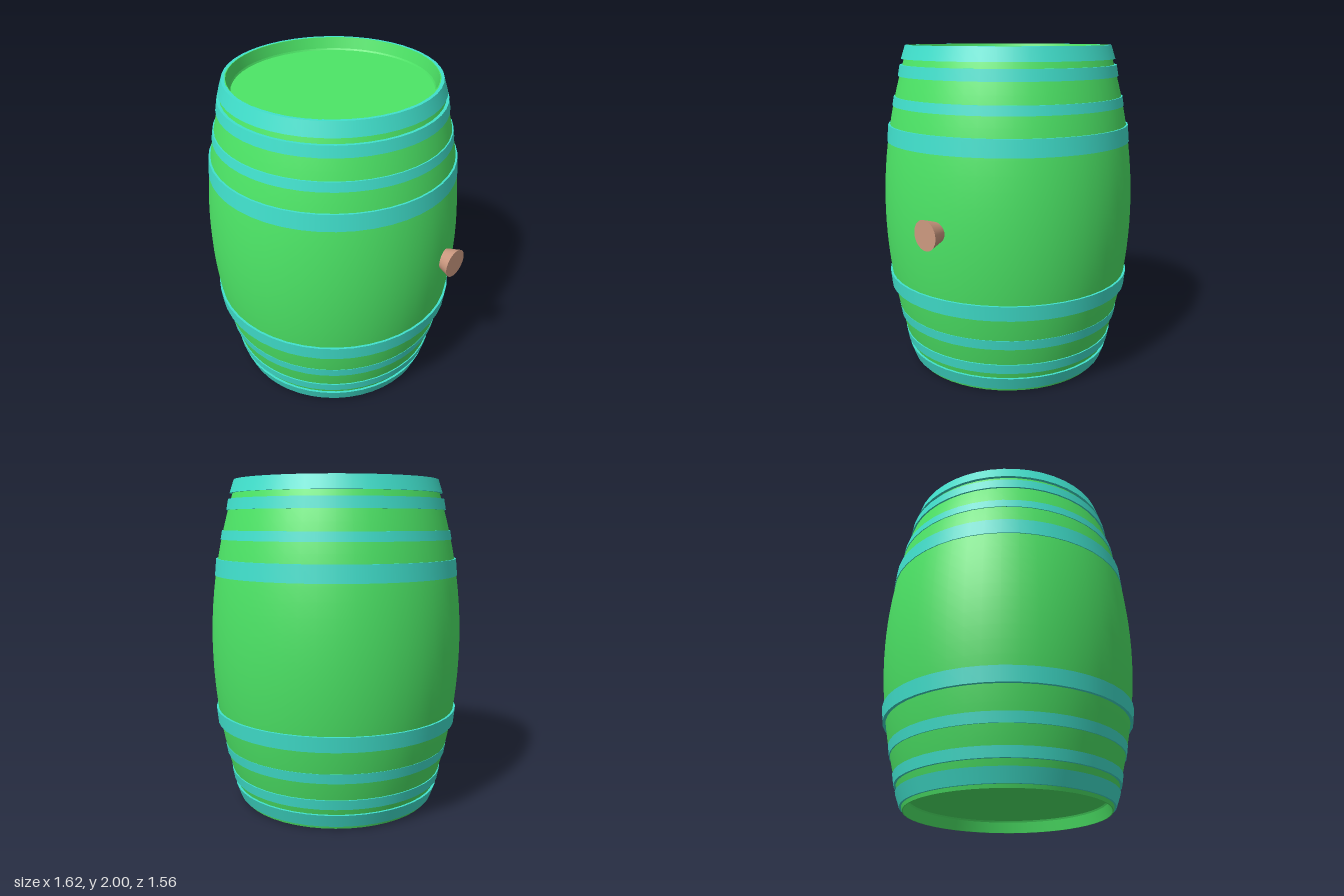
import * as THREE from 'three';

const SEGMENTS = 48;
const CENTRE_X = -0.03;

const wood = new THREE.MeshStandardMaterial({ color: 0x4ce566 });
const metal = new THREE.MeshStandardMaterial({ color: 0x40e0cc });
const cork = new THREE.MeshStandardMaterial({ color: 0xcc9980 });

// radius of the bulging staves at height y
const staveRadius = (y) => 0.78 - 0.172 * (y - 1) ** 2;

// lathe with hard creases: each run of [radius, y] points is smooth on its own
function turned(name, runs, material) {
  const group = new THREE.Group();
  group.name = name;
  for (const run of runs) {
    const points = run.map(([r, y]) => new THREE.Vector2(r, y));
    const mesh = new THREE.Mesh(new THREE.LatheGeometry(points, SEGMENTS), material);
    mesh.name = name + 'Surface';
    group.add(mesh);
  }
  return group;
}

export function createModel() {
  const model = new THREE.Group();
  model.name = 'barrel';
  const body = new THREE.Group();
  body.name = 'barrelBody';
  body.position.x = CENTRE_X;
  model.add(body);

  // bulging staves, with a bevelled recess and flat head at both ends
  const steps = 24;
  const side = [];
  for (let i = 0; i <= steps; i++) {
    const y = (2 * i) / steps;
    side.push([staveRadius(y), y]);
  }
  const end = [[staveRadius(2), 2], [0.602, 2], [0.585, 1.935], [0.58, 1.925], [0, 1.925]];
  const runs = [side];
  for (let i = 0; i < end.length - 1; i++) {
    const [a, b] = [end[i], end[i + 1]];
    runs.push([a, b]);
    runs.push([[b[0], 2 - b[1]], [a[0], 2 - a[1]]]);
  }
  body.add(turned('staves', runs, wood));

  // hoops: bottom y, top y, outer radius at bottom and at top
  const hoops = [
    [0.02, 0.10, 0.626, 0.655],
    [0.14, 0.20, 0.666, 0.677],
    [0.31, 0.37, 0.704, 0.714],
    [0.51, 0.60, 0.757, 0.766],
    [1.43, 1.53, 0.753, 0.743],
    [1.645, 1.70, 0.713, 0.703],
    [1.82, 1.885, 0.674, 0.662],
    [1.92, 2.0, 0.652, 0.626],
  ];
  for (const [y0, y1, r0, r1] of hoops) {
    const i0 = staveRadius(y0) - 0.002;
    const i1 = staveRadius(y1) - 0.002;
    body.add(turned('hoop', [
      [[i0, y0], [r0, y0]],
      [[r0, y0], [r1, y1]],
      [[r1, y1], [i1, y1]],
    ], metal));
  }

  // tapered bung on the left side
  const bung = new THREE.Mesh(new THREE.CylinderGeometry(0.088, 0.052, 0.11, 32), cork);
  bung.name = 'bung';
  bung.rotation.z = -Math.PI / 2;
  bung.position.set(0.755, 1, -0.16);
  model.add(bung);

  return model;
}
